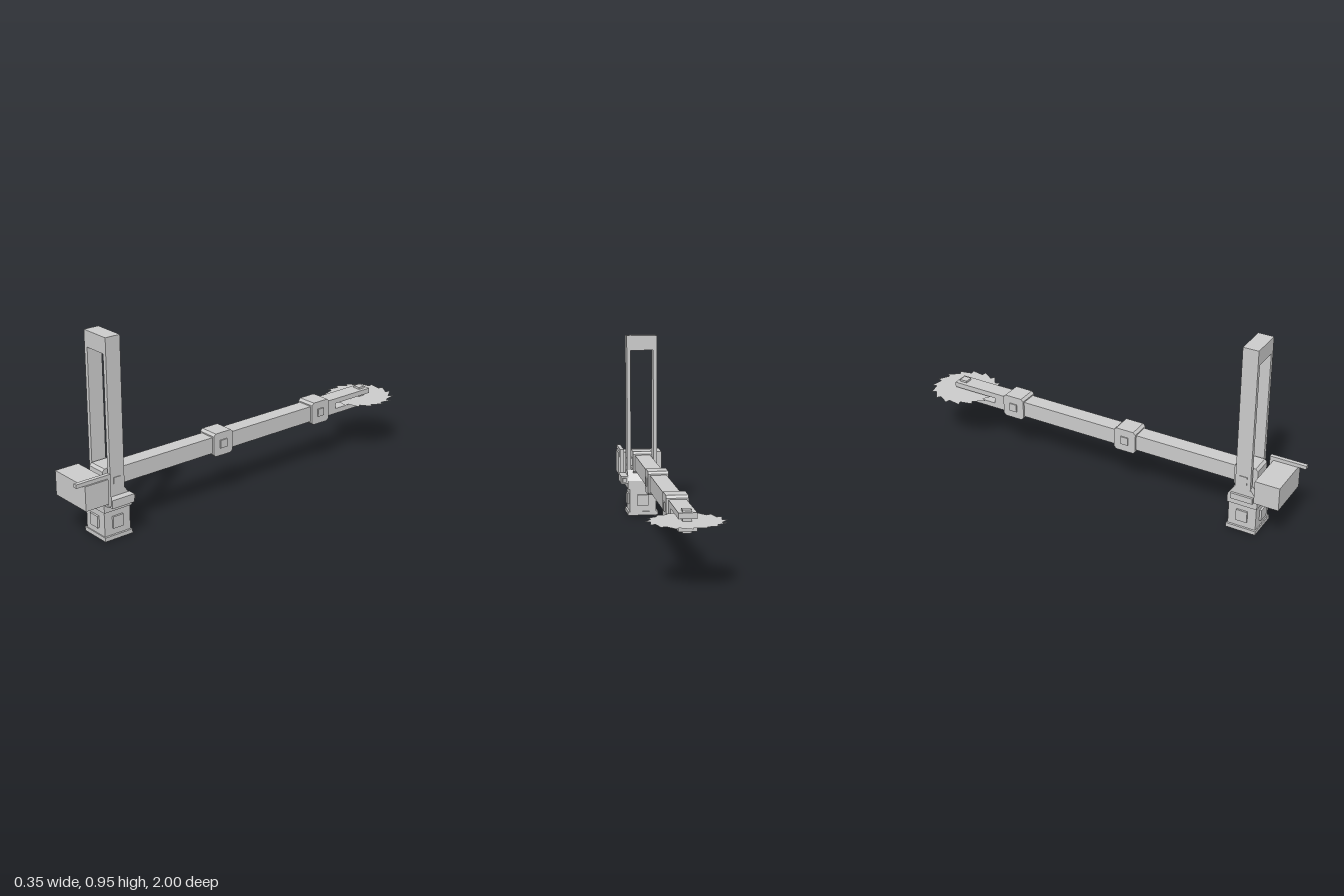
import * as THREE from 'three';

const mat = new THREE.MeshStandardMaterial({ color: 0xcccccc, flatShading: true });
const thin = new THREE.MeshStandardMaterial({ color: 0xcccccc, flatShading: true, side: THREE.DoubleSide });

export function createModel() {
  const root = new THREE.Group();
  const pivotZ = 0.765, armY = 0.28, bladeZ = -0.825;

  const add = (name, geometry, material = mat) => {
    const mesh = new THREE.Mesh(geometry, material);
    mesh.name = name;
    root.add(mesh);
    return mesh;
  };
  // Box given by its lower and upper limits on each axis
  const box = (name, x0, x1, y0, y1, z0, z1) => {
    const mesh = add(name, new THREE.BoxGeometry(x1 - x0, y1 - y0, z1 - z0));
    mesh.position.set((x0 + x1) / 2, (y0 + y1) / 2, (z0 + z1) / 2);
    return mesh;
  };
  // Side profile of [z, y] points, extruded across x
  const prism = (name, points, halfWidth) => {
    const shape = new THREE.Shape(points.map(([z, y]) => new THREE.Vector2(-z, y)));
    const g = new THREE.ExtrudeGeometry(shape, { depth: 2 * halfWidth, bevelEnabled: false });
    g.translate(0, 0, -halfWidth);
    g.rotateY(Math.PI / 2);
    return add(name, g);
  };

  // Grip with a raised square pad on each side
  box('gripFoot', -0.08, 0.08, 0, 0.02, pivotZ - 0.075, pivotZ + 0.075);
  box('gripBody', -0.07, 0.07, 0.02, 0.14, pivotZ - 0.07, pivotZ + 0.07);
  box('gripSidePads', -0.079, 0.079, 0.052, 0.11, pivotZ - 0.028, pivotZ + 0.028);
  box('gripEndPads', -0.029, 0.029, 0.052, 0.11, pivotZ - 0.08, pivotZ + 0.08);

  // Head block tapering up to the frame
  prism('headBlock', [
    [pivotZ + 0.075, 0.14], [pivotZ - 0.075, 0.14], [pivotZ - 0.075, 0.185],
    [pivotZ - 0.038, 0.24], [pivotZ + 0.038, 0.24], [pivotZ + 0.075, 0.185],
  ], 0.079);
  box('headSidePlate', -0.09, -0.07, 0.17, 0.2, 0.71, 0.82);

  // Tall frame
  for (const s of [-1, 1]) {
    const leg = box('frameLeg', -0.01, 0.01, 0.23, 0.88, 0.727, 0.803);
    leg.position.x = s * 0.07;
  }
  box('frameTop', -0.08, 0.08, 0.875, 0.952, 0.727, 0.803);
  box('framePivotPin', -0.083, 0.083, 0.26, 0.3, pivotZ - 0.02, pivotZ + 0.02);

  // Long arm and its chamfered collars
  box('arm', -0.04, 0.04, 0.24, 0.32, -0.62, pivotZ);
  for (const z of [pivotZ, 0.13, -0.503]) {
    const h = 0.058, c = 0.012;
    prism('collar', [
      [z + h, armY - h + c], [z + h - c, armY - h], [z - h + c, armY - h], [z - h, armY - h + c],
      [z - h, armY + h - c], [z - h + c, armY + h], [z + h - c, armY + h], [z + h, armY + h - c],
    ], 0.05);
    box('collarPin', -0.056, 0.056, armY - 0.02, armY + 0.02, z - 0.02, z + 0.02);
  }

  // Fork holding the saw blade
  for (const s of [-1, 1]) {
    const prong = box('forkProng', -0.04, 0.04, -0.013, 0.013, -0.86, -0.61);
    prong.position.y = armY + s * 0.027;
  }
  box('bladeAxle', -0.02, 0.02, 0.23, 0.33, bladeZ - 0.02, bladeZ + 0.02);

  // Flat saw blade with slanted teeth
  const teeth = 16, blade = new THREE.Shape();
  for (let i = 0; i < teeth; i++) {
    const a = (i / teeth) * Math.PI * 2;
    const tip = [0.176 * Math.cos(a), 0.176 * Math.sin(a)];
    if (i === 0) blade.moveTo(...tip); else blade.lineTo(...tip);
    blade.lineTo(0.152 * Math.cos(a + 0.03), 0.152 * Math.sin(a + 0.03));
  }
  const bladeGeometry = new THREE.ShapeGeometry(blade);
  bladeGeometry.rotateX(-Math.PI / 2);
  add('sawBlade', bladeGeometry, thin).position.set(0, armY, bladeZ);

  // Front housing with a cranked lever along its left side
  box('frontHousing', -0.118, 0.116, 0.2, 0.318, 0.838, 0.96);
  box('leverHandle', 0.088, 0.108, 0.318, 0.336, 0.82, 1.0);
  box('leverUpright', 0.088, 0.108, 0.18, 0.336, 0.82, 0.84);
  box('leverRod', 0.088, 0.108, 0.18, 0.2, 0.688, 0.84);
  box('leverGuide', 0.075, 0.116, 0.17, 0.21, 0.7, 0.82);

  return root;
}
